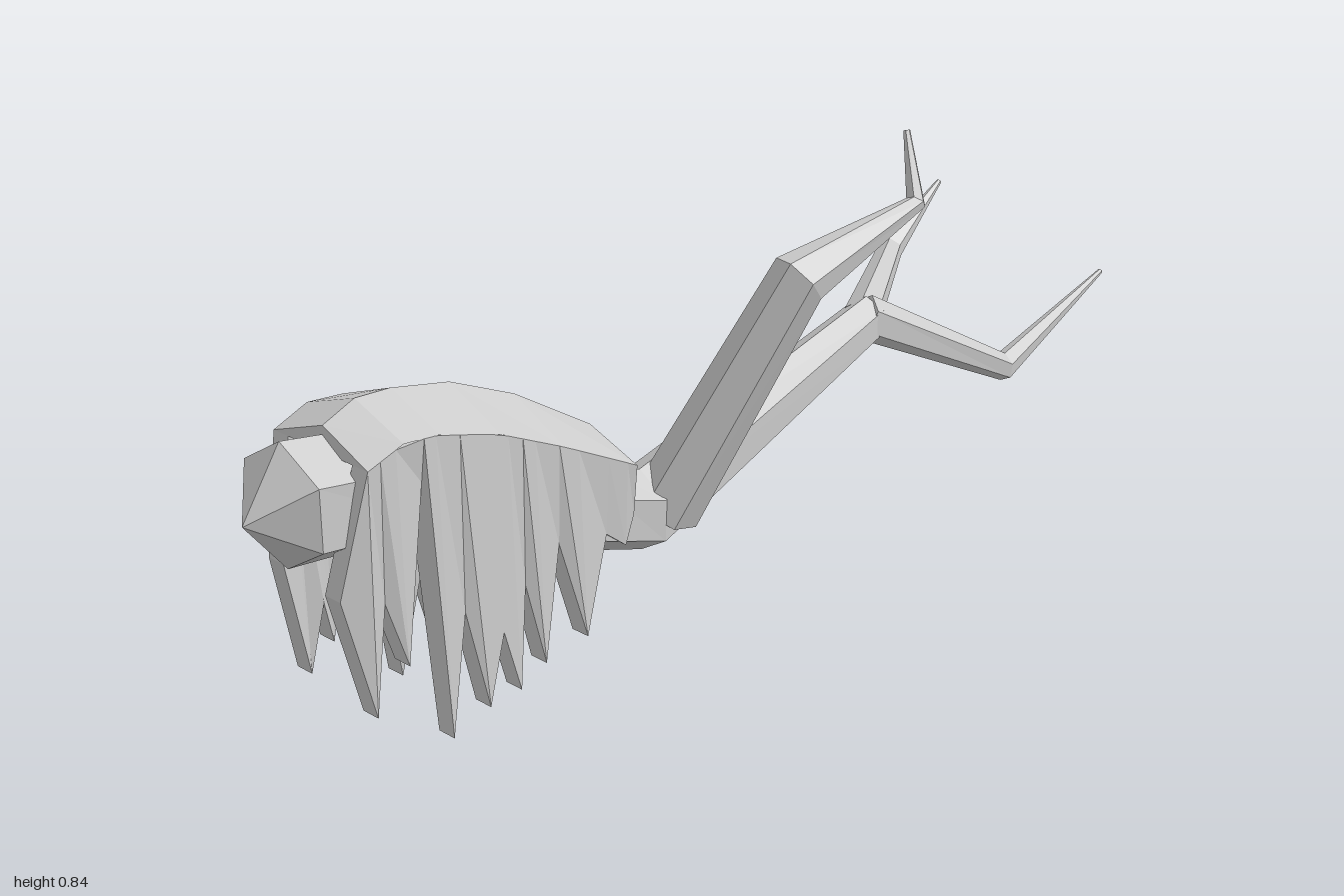
import * as THREE from 'three';

const grey = new THREE.MeshStandardMaterial({ color: 0xcccccc, flatShading: true });

function mesh(geometry, name) {
  const m = new THREE.Mesh(geometry, grey);
  m.name = name;
  return m;
}

// Joins equal-sized rings of points into a closed, faceted solid
function skin(rings) {
  const pos = [], n = rings[0].length;
  const tri = (...pts) => pts.forEach((p) => pos.push(p.x, p.y, p.z));
  const middle = (ring) => ring.reduce((s, p) => s.add(p), new THREE.Vector3()).divideScalar(n);
  const first = rings[0], last = rings[rings.length - 1];
  const c0 = middle(first), c1 = middle(last);
  for (let i = 0; i < n; i++) {
    const j = (i + 1) % n;
    for (let k = 0; k < rings.length - 1; k++) {
      const [a, b, c, d] = [rings[k][i], rings[k][j], rings[k + 1][j], rings[k + 1][i]];
      tri(a, b, c);
      tri(a, c, d);
    }
    tri(c0, first[j], first[i]);
    tri(c1, last[i], last[j]);
  }
  const g = new THREE.BufferGeometry();
  g.setAttribute('position', new THREE.Float32BufferAttribute(pos, 3));
  g.computeVertexNormals();
  return g;
}

// Six-sided tapering limb along [x, y, z, radius] stations
function limb(stations, sides = 6) {
  const pts = stations.map((s) => new THREE.Vector3(s[0], s[1], s[2]));
  const dir = pts.slice(1).map((p, i) => p.clone().sub(pts[i]).normalize());
  let u = new THREE.Vector3(0, 1, 0);
  return skin(pts.map((p, k) => {
    const t = dir[Math.max(k - 1, 0)].clone().add(dir[Math.min(k, dir.length - 1)]).normalize();
    u = u.clone().addScaledVector(t, -u.dot(t)).normalize();
    const v = t.clone().cross(u);
    return Array.from({ length: sides }, (_, i) => {
      const a = (i / sides) * Math.PI * 2;
      return p.clone().addScaledVector(u, stations[k][3] * Math.cos(a))
        .addScaledVector(v, stations[k][3] * Math.sin(a));
    });
  }));
}

// Moss stations, front to back: z, right edge x, left edge x, ridge x, ridge y, shoulder y
const moss = [
  [0.9, -0.145, 0.085, -0.01, 0.5, 0.45],
  [0.84, -0.15, 0.1, -0.015, 0.535, 0.49],
  [0.77, -0.155, 0.1, -0.025, 0.56, 0.518],
  [0.7, -0.155, 0.1, -0.025, 0.56, 0.515],
  [0.58, -0.147, 0.102, -0.028, 0.54, 0.485],
  [0.45, -0.125, 0.103, -0.025, 0.488, 0.43],
  [0.3, -0.09, 0.11, -0.01, 0.4, 0.36],
];

// Interpolated moss value in the given column
function mossAt(z, col) {
  const i = Math.max(1, moss.findIndex((s) => s[0] <= z));
  const a = moss[i - 1], b = moss[i];
  return THREE.MathUtils.mapLinear(z, a[0], b[0], a[col], b[col]);
}

// Hanging strands: a thick pleated sheet from the moss shoulder down to a zigzag hem
function curtain(hem, col, lean) {
  const inward = col === 1 ? 1 : -1, thick = 0.04 * inward;
  const rings = hem.map(([z, y]) => {
    const topZ = Math.min(z, 0.84);
    const topX = mossAt(topZ, col), topY = mossAt(topZ, 5);
    // notches sit deeper than the strand tips
    const pleat = y > 0.16 ? 0.014 : 0;
    const x = mossAt(z, col) + inward * (pleat + lean * (topY - y));
    const ring = [
      new THREE.Vector3(topX, topY, topZ), new THREE.Vector3(x, y, z),
      new THREE.Vector3(x + thick, y, z), new THREE.Vector3(topX + thick, topY, topZ),
    ];
    return col === 1 ? ring.reverse() : ring;
  });
  return skin(rings);
}

export function createModel() {
  const model = new THREE.Group();
  model.name = 'mossyBranch';

  // Log with pointed broken end, running on into the long rear branch
  model.add(mesh(limb([
    [-0.01, 0.41, 1, 0.002], [-0.015, 0.422, 0.92, 0.108], [-0.025, 0.395, 0.65, 0.1],
    [0.03, 0.265, 0.33, 0.072], [0.042, 0.243, 0.235, 0.075], [-0.025, 0.432, -0.38, 0.042],
  ]), 'log'));

  // Side branches
  const branches = {
    uprightBranch: [[0.063, 0.24, 0.2, 0.062], [0.243, 0.665, 0.06, 0.05],
      [0.215, 0.727, -0.243, 0.018], [0.172, 0.842, -0.262, 0.006]],
    lowerFork: [[-0.022, 0.435, -0.36, 0.042], [0.05, 0.285, -0.66, 0.027],
      [-0.008, 0.385, -0.998, 0.005]],
    upperFork: [[-0.025, 0.432, -0.36, 0.036], [-0.248, 0.447, -0.66, 0.024],
      [-0.285, 0.54, -0.83, 0.005]],
  };
  for (const [name, stations] of Object.entries(branches)) model.add(mesh(limb(stations), name));

  // Moss cap over the log
  const cap = moss.slice(1).map(([z, xr, xl, xt, yt, ys]) => [
    new THREE.Vector3(xt, yt, z), new THREE.Vector3(xl, ys, z), new THREE.Vector3(xr, ys, z),
  ]);
  model.add(mesh(skin(cap), 'mossCap'));

  // Ragged strands on both sides, hem listed front to back as [z, y]
  const leftHem = [
    [0.89, 0.28], [0.85, 0.08], [0.815, 0.26], [0.785, 0.15], [0.73, 0.44],
    [0.707, 0], [0.66, 0.2], [0.63, 0.03], [0.595, 0.15], [0.565, 0.04], [0.535, 0.21],
    [0.51, 0.07], [0.46, 0.26], [0.42, 0.09], [0.36, 0.25], [0.32, 0.22], [0.3, 0.27],
  ];
  const rightHem = [
    [0.88, 0.29], [0.83, 0.08], [0.805, 0.2], [0.78, 0.12], [0.73, 0.41],
    [0.685, 0.22], [0.65, 0.02], [0.61, 0.2], [0.57, 0.08], [0.53, 0.21], [0.49, 0.07],
    [0.45, 0.2], [0.42, 0.11], [0.38, 0.23], [0.35, 0.15], [0.3, 0.26],
  ];
  model.add(mesh(curtain(leftHem, 2, -0.045), 'leftMossStrands'));
  model.add(mesh(curtain(rightHem, 1, 0.05), 'rightMossStrands'));
  return model;
}
